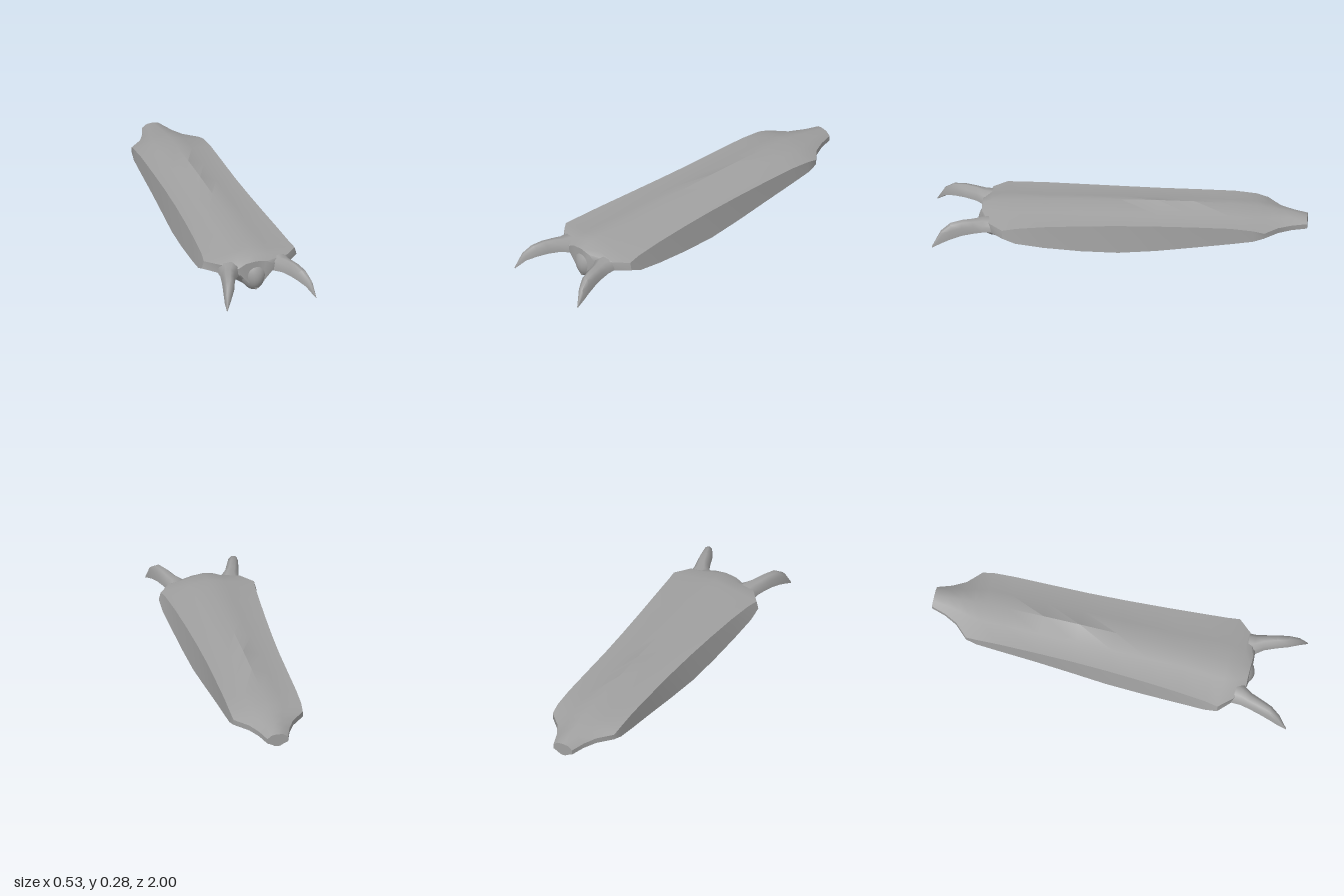
import * as THREE from 'three';
import { toCreasedNormals } from 'three/addons/utils/BufferGeometryUtils.js';

const skin = new THREE.MeshStandardMaterial({ color: 0xa0a0a0 });
skin.name = 'plain grey';

// Joins rings (counter-clockwise seen from +z, ordered front to back) and caps both ends
function loft(rings, crease) {
  const n = rings[0].length;
  const index = [];
  for (let r = 0; r < rings.length - 1; r++) {
    for (let i = 0; i < n; i++) {
      const j = (i + 1) % n;
      const a = r * n + i, b = r * n + j;
      index.push(a, a + n, b, b, a + n, b + n);
    }
  }
  const last = (rings.length - 1) * n;
  for (let i = 1; i < n - 1; i++) {
    index.push(0, i, i + 1);
    index.push(last, last + i + 1, last + i);
  }
  const g = new THREE.BufferGeometry();
  g.setAttribute('position', new THREE.Float32BufferAttribute(rings.flat(2), 3));
  g.setIndex(index);
  return toCreasedNormals(g, crease);
}

// Body stations: z, ridge y, shoulder x y, side top x y, side bottom x y, belly y, front pinch
const STATIONS = [
  [0.74, 0.23, 0.06, 0.222, 0.10, 0.20, 0.09, 0.16, 0.06, 1],
  [0.69, 0.25, 0.09, 0.235, 0.195, 0.218, 0.19, 0.165, 0.042, 1],
  [0.62, 0.26, 0.10, 0.237, 0.256, 0.214, 0.267, 0.172, 0.042, 0.5],
  [0.55, 0.264, 0.10, 0.238, 0.245, 0.222, 0.263, 0.14, 0.027, 0.15],
  [0.40, 0.268, 0.09, 0.24, 0.232, 0.23, 0.25, 0.112, 0.008, 0],
  [0.20, 0.274, 0.09, 0.243, 0.218, 0.234, 0.237, 0.09, 0.003, 0],
  [0.00, 0.278, 0.09, 0.244, 0.207, 0.236, 0.225, 0.08, 0.015, 0],
  [-0.20, 0.281, 0.09, 0.244, 0.2, 0.236, 0.211, 0.09, 0.036, 0],
  [-0.40, 0.28, 0.09, 0.244, 0.198, 0.236, 0.203, 0.113, 0.063, 0],
  [-0.60, 0.274, 0.09, 0.243, 0.197, 0.234, 0.2, 0.14, 0.093, 0],
  [-0.72, 0.265, 0.09, 0.24, 0.196, 0.222, 0.198, 0.158, 0.112, 0],
  [-0.78, 0.258, 0.08, 0.235, 0.19, 0.205, 0.19, 0.175, 0.122, 0],
  [-0.85, 0.246, 0.06, 0.23, 0.12, 0.2, 0.12, 0.17, 0.131, 0],
  [-0.92, 0.235, 0.045, 0.223, 0.083, 0.196, 0.083, 0.168, 0.137, 0],
  [-1.00, 0.215, 0.032, 0.211, 0.057, 0.192, 0.057, 0.165, 0.141, 0],
];

function bodyRing([z, ridge, sx, sy, tx, ty, bx, by, belly, pinch]) {
  const low = [[0.27, 0.12, 0.35], [0.53, 0.48, 0.85], [0.8, 0.86, 0.95]]
    .map(([f, round, tight]) => [
      bx * f, belly + (by - belly) * THREE.MathUtils.lerp(round, tight, pinch), z]);
  const right = [...low, [bx, by, z], [tx, ty, z], [sx, sy, z]];
  const left = right.map(([x, y, w]) => [-x, y, w]).reverse();
  return [[0, belly, z], ...right, [0, ridge, z], ...left];
}

// Arm stations: z, inner x, outer x, crown y, inner low y, outer low y
const ARM = [
  [0.995, 0.247, 0.252, 0.102, 0.096, 0.093],
  [0.95, 0.207, 0.249, 0.185, 0.145, 0.118],
  [0.90, 0.176, 0.238, 0.221, 0.162, 0.138],
  [0.84, 0.153, 0.224, 0.23, 0.165, 0.155],
  [0.78, 0.128, 0.21, 0.228, 0.162, 0.162],
  [0.73, 0.09, 0.2, 0.226, 0.155, 0.165],
  [0.62, 0.05, 0.2, 0.226, 0.155, 0.172],
];

function armRing([z, xi, xo, crown, innerLow, outerLow], side) {
  const at = (t) => xi + (xo - xi) * t;
  const mix = (low, t) => low + (crown - low) * t;
  const pts = [
    [at(0.05), innerLow], [at(0.5), Math.max(innerLow, outerLow) + 0.002],
    [at(1), outerLow], [at(0.95), mix(outerLow, 0.6)],
    [at(0.75), mix(outerLow, 0.93)], [at(0.4), crown], [at(0.1), mix(innerLow, 0.72)],
  ].map(([x, y]) => [x * side, y, z]);
  return side < 0 ? pts.reverse() : pts;
}

export function createModel() {
  const group = new THREE.Group();
  const add = (name, geometry) => {
    const mesh = new THREE.Mesh(geometry, skin);
    mesh.name = name;
    group.add(mesh);
  };

  // Long body with flat cut sides and a blunt tail
  add('body', loft(STATIONS.map(bodyRing), 0.75));

  // Curved claw-like arms
  for (const side of [1, -1]) {
    add(side > 0 ? 'leftArm' : 'rightArm',
      loft(ARM.map((s) => armRing(s, side)), 1.0));
  }

  // Rounded head, narrowing to the chin, which pushes forward
  const head = new THREE.SphereGeometry(1, 28, 20);
  const p = head.attributes.position;
  for (let i = 0; i < p.count; i++) {
    const x = p.getX(i), y = p.getY(i), z = p.getZ(i);
    const width = 0.083 + 0.022 * y;
    p.setXYZ(i, x * width, 0.143 + y * 0.105, 0.655 + z * 0.105 - y * 0.012);
  }
  head.computeVertexNormals();
  add('head', head);

  return group;
}
